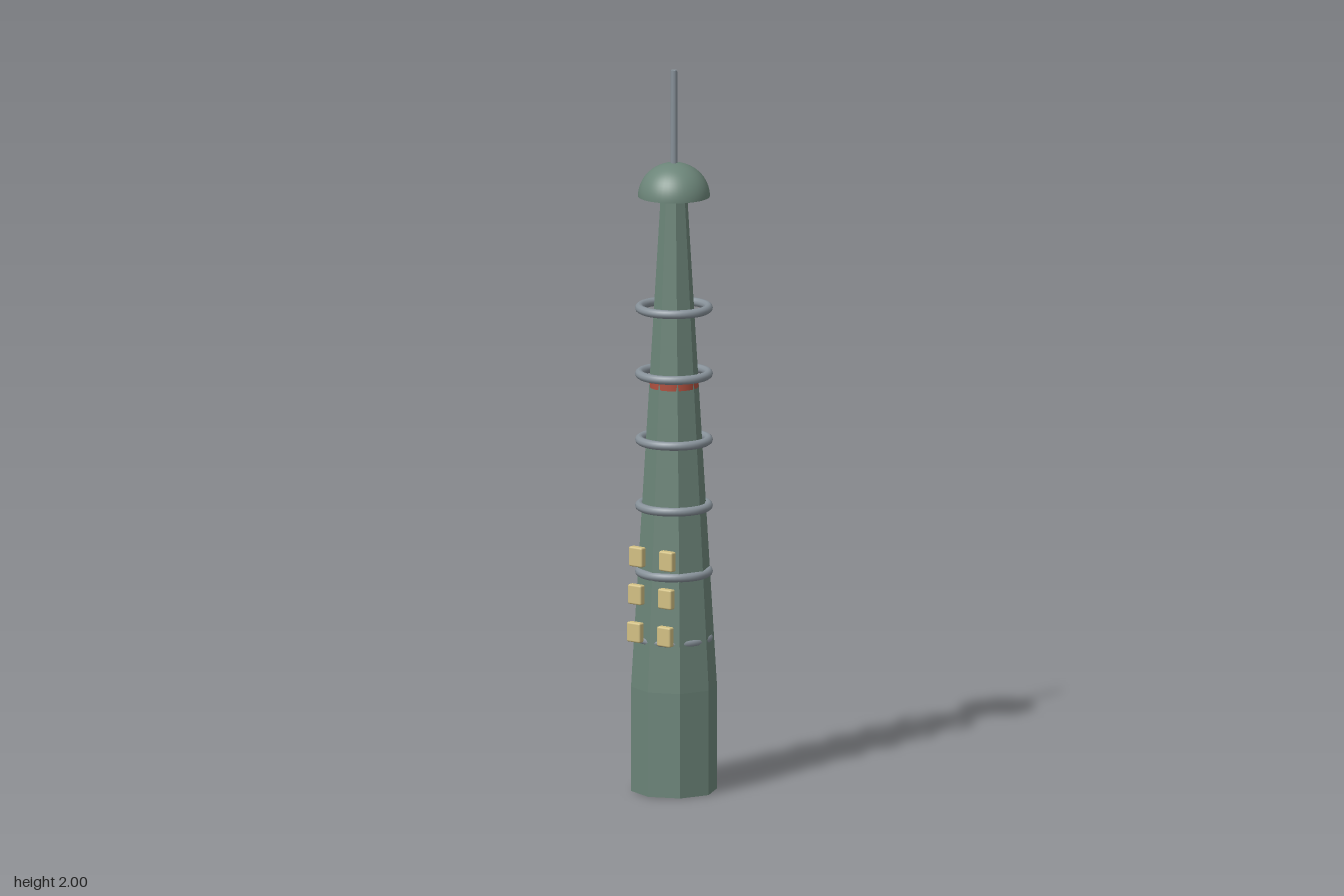
import * as THREE from 'three';
import { RoundedBoxGeometry } from 'three/addons/geometries/RoundedBoxGeometry.js';

const mat = (name, color, flatShading = false) => {
  const m = new THREE.MeshStandardMaterial({ color, flatShading });
  m.name = name;
  return m;
};

export function createModel() {
  const group = new THREE.Group();
  const green = mat('towerGreen', 0x6c8579, true);
  const domeGreen = green.clone();
  domeGreen.flatShading = false;
  const steel = mat('steelGrey', 0x88929a);
  const cream = mat('windowCream', 0xd2c084);
  const red = mat('bandRed', 0xb0503f);

  const add = (name, geometry, material, x, y, z) => {
    const mesh = new THREE.Mesh(geometry, material);
    mesh.name = name;
    mesh.position.set(x, y, z);
    group.add(mesh);
    return mesh;
  };

  // Octagonal shaft: straight base, then a long taper
  const baseTop = 0.29, shaftTop = 1.66, r = 0.118;
  add('base', new THREE.CylinderGeometry(r, r, baseTop, 8), green, 0, baseTop / 2, 0);
  add('taperedShaft', new THREE.CylinderGeometry(0.036, r, shaftTop - baseTop, 8), green,
    0, (baseTop + shaftTop) / 2, 0);

  // Evenly spaced hoops; the lowest just breaks through the shaft faces
  const hoop = new THREE.TorusGeometry(0.094, 0.012, 10, 48).rotateX(Math.PI / 2);
  for (let i = 0; i < 6; i++) add('hoop', hoop, steel, 0, 0.425 + i * 0.183, 0);

  // Round band peeking out of the octagonal shaft
  add('redBand', new THREE.CylinderGeometry(0.067, 0.067, 0.032, 40), red, 0, 1.137, 0);

  // Windows in two columns, stepping back with the taper
  const pane = new RoundedBoxGeometry(0.045, 0.055, 0.022, 2, 0.005);
  for (let row = 0; row < 3; row++) {
    for (const side of [-1, 1]) {
      add('window', pane, cream, side * 0.051, 0.45 + row * 0.104, 0.107 - row * 0.0045);
    }
  }

  // Domed cap with a flat underside
  const domeR = 0.098, domeY = 1.65;
  const dome = new THREE.SphereGeometry(domeR, 40, 16, 0, Math.PI * 2, 0, Math.PI / 2);
  add('dome', dome, domeGreen, 0, domeY, 0).scale.y = 0.95;
  add('domeUnderside', new THREE.CircleGeometry(domeR, 40).rotateX(Math.PI / 2), domeGreen, 0, domeY, 0);

  // Antenna mast
  add('antenna', new THREE.CylinderGeometry(0.009, 0.01, 0.28, 8), steel, 0, 1.86, 0);

  return group;
}
